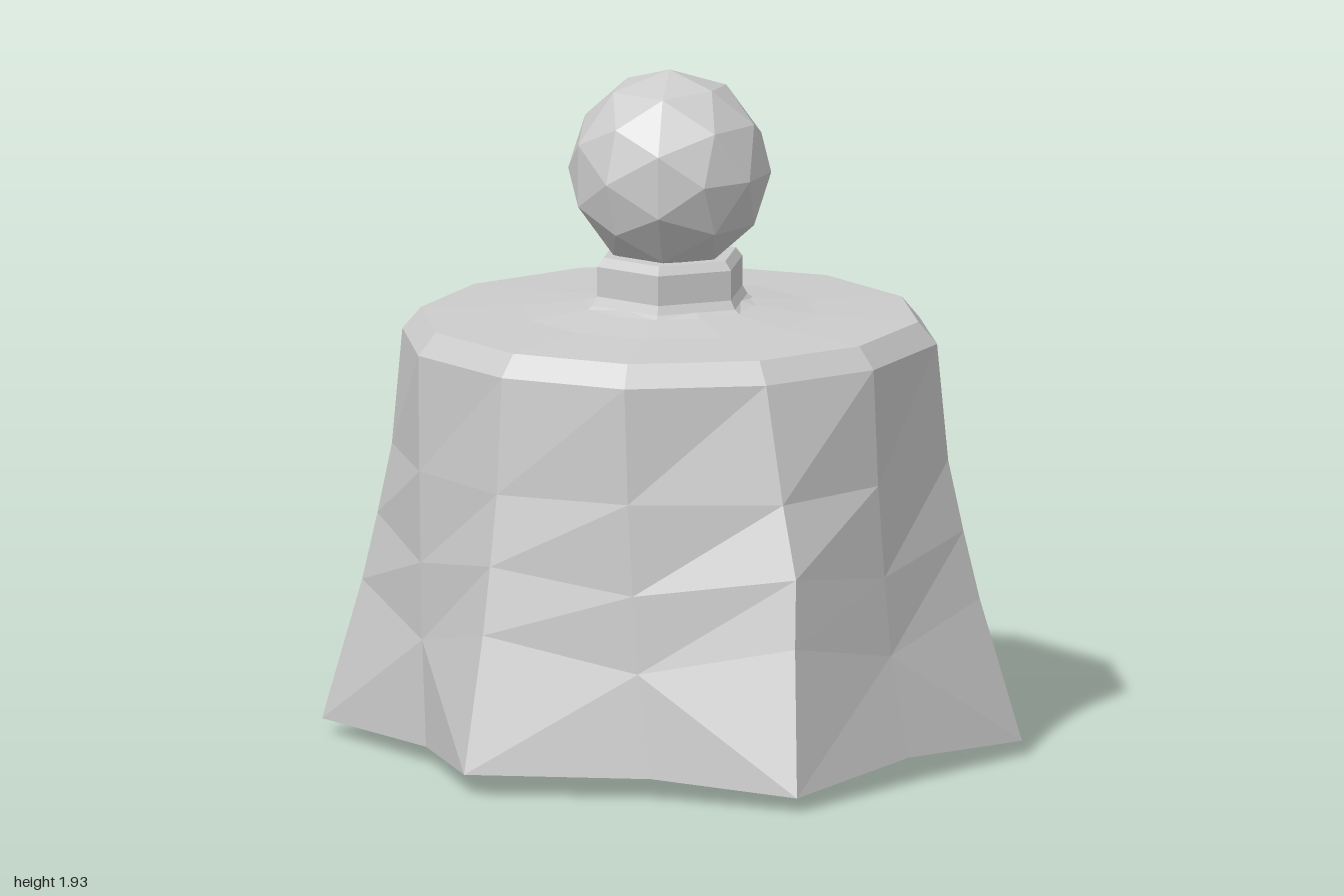
import * as THREE from 'three';

const CX = -0.04, CZ = 0.02; // axis of knob and neck
const V = (x, y, z) => new THREE.Vector3(x, y, z);

// Skin closed rings (top to bottom); flip(row, i) selects the other diagonal
function skin(rings, flip, capTop, capBottom) {
  const pos = [];
  const tri = (...pts) => pts.forEach((p) => pos.push(p.x, p.y, p.z));
  const centre = (ring) => ring.reduce((s, p) => s.add(p), V(0, 0, 0)).divideScalar(ring.length);
  rings.forEach((up, r) => {
    const low = rings[r + 1];
    if (!low) return;
    up.forEach((a, i) => {
      const j = (i + 1) % up.length, b = up[j], c = low[i], d = low[j];
      if (flip(r, i)) { tri(a, c, d); tri(a, d, b); }
      else { tri(c, d, b); tri(c, b, a); }
    });
  });
  const cap = (ring, down) => {
    const m = centre(ring);
    ring.forEach((p, i) => {
      const q = ring[(i + 1) % ring.length];
      if (down) tri(m, q, p); else tri(m, p, q);
    });
  };
  if (capTop) cap(rings[0], false);
  if (capBottom) cap(rings[rings.length - 1], true);
  const g = new THREE.BufferGeometry();
  g.setAttribute('position', new THREE.Float32BufferAttribute(pos, 3));
  g.computeVertexNormals();
  return g;
}

export function createModel() {
  const group = new THREE.Group();
  const mat = new THREE.MeshStandardMaterial({ color: 0xcccccc, flatShading: true });
  const add = (name, geometry) => {
    const mesh = new THREE.Mesh(geometry, mat);
    mesh.name = name;
    group.add(mesh);
    return mesh;
  };

  // Shoulder outline [x, z], from the front round through +x
  const shoulder = [[-0.04, 0.78], [0.33, 0.69], [0.61, 0.4], [0.71, 0.04], [0.62, -0.36], [0.34, -0.63],
    [-0.04, -0.74], [-0.42, -0.62], [-0.69, -0.36], [-0.79, 0.03], [-0.7, 0.4], [-0.42, 0.68]];
  // Flared hem [x, y, z]: even entries are ridges, odd ones folds
  const hem = [[0, 0.06, 1], [0.45, 0.06, 0.72], [0.88, 0.04, 0.6], [0.86, 0.07, 0.07], [0.87, 0.04, -0.43], [0.36, 0.03, -0.68],
    [-0.02, 0.02, -1], [-0.36, 0.01, -0.68], [-0.88, 0.01, -0.51], [-0.78, 0, 0.03], [-0.87, 0.04, 0.55], [-0.36, 0.05, 0.72]];

  // Skirt levels: heights of ridges and folds, and share of the flare reached
  const levels = [
    { ridge: 1.16, fold: 1.16, t: 0 },
    { ridge: 0.83, fold: 0.83, t: 0.13 },
    { ridge: 0.63, fold: 0.57, t: 0.31 },
    { ridge: 0.44, fold: 0.35, t: 0.5 },
  ];
  const rings = levels.map(({ ridge, fold, t }, row) => shoulder.map(([x, z], i) => {
    const [hx, , hz] = hem[i];
    // the front right ridge swells earlier than the rest
    const tx = i === 2 ? [0, 0.3, 0.58, 0.68][row] : t;
    return V(x + (hx - x) * tx, i % 2 ? fold : ridge, z + (hz - z) * t);
  }));
  rings.push(hem.map((p) => V(...p)));
  add('skirt', skin(rings, (r, i) => r === 3 && i % 2 === 1, false, true));

  // Bevelled shoulder and slightly domed lid, ending below the neck
  const inset = (k, y) => shoulder.map(([x, z]) => V(CX + (x - CX) * k, y, CZ + (z - CZ) * k));
  add('lid', skin([inset(0.25, 1.27), inset(0.32, 1.255), inset(0.55, 1.235), inset(0.93, 1.222), inset(1, 1.16)],
    (r, i) => i % 2 === 1, true, false));

  // Hexagonal neck with a chamfered collar and flared foot
  const hexRing = ([radius, y]) => Array.from({ length: 6 }, (_, i) => {
    const a = (i + 0.5) * Math.PI / 3;
    return V(CX + radius * Math.sin(a), y, CZ + radius * Math.cos(a));
  });
  add('neck', skin([[0.2, 1.4], [0.22, 1.375], [0.22, 1.29], [0.235, 1.265], [0.27, 1.24]].map(hexRing), () => false, true, false));

  // Faceted ball
  add('knob', new THREE.IcosahedronGeometry(0.288, 1)).position.set(CX, 1.638, CZ);

  return group;
}
